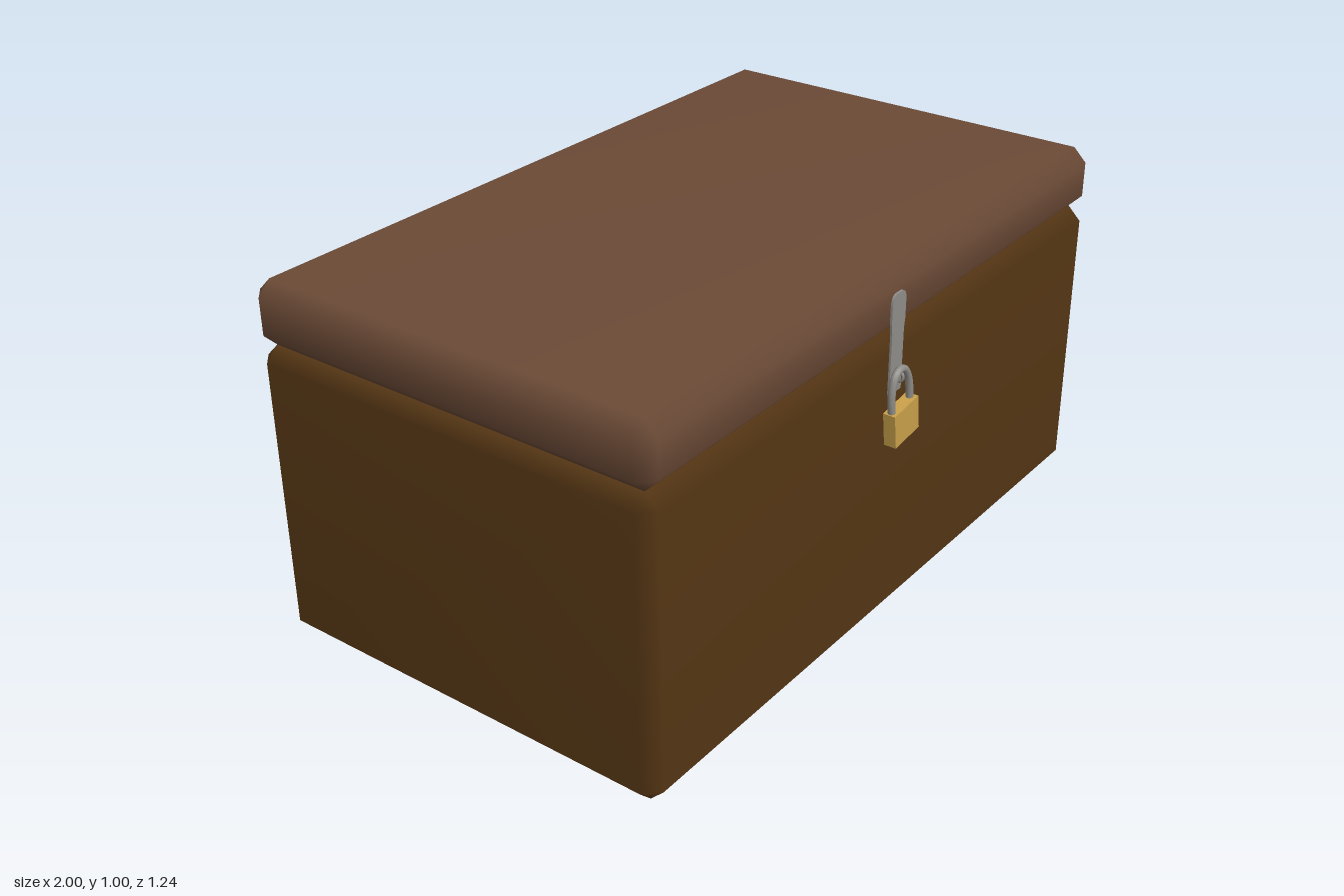
import * as THREE from 'three';
import { ConvexGeometry } from 'three/addons/geometries/ConvexGeometry.js';
import { mergeVertices } from 'three/addons/utils/BufferGeometryUtils.js';

const material = (color) => new THREE.MeshStandardMaterial({ color });

function addMesh(parent, name, geometry, mat, x = 0, y = 0, z = 0) {
  const mesh = new THREE.Mesh(geometry, mat);
  mesh.name = name;
  mesh.position.set(x, y, z);
  parent.add(mesh);
  return mesh;
}

// Box with one flat chamfer along every edge, shaded smoothly
function chamferedBox(w, h, d, c) {
  const points = [];
  for (const sx of [-1, 1]) for (const sy of [-1, 1]) for (const sz of [-1, 1]) {
    for (let axis = 0; axis < 3; axis++) {
      const inset = [c, c, c];
      inset[axis] = 0;
      points.push(new THREE.Vector3(
        sx * (w / 2 - inset[0]), sy * (h / 2 - inset[1]), sz * (d / 2 - inset[2])));
    }
  }
  const hull = new ConvexGeometry(points);
  hull.deleteAttribute('normal');
  const geometry = mergeVertices(hull, 1e-4);
  geometry.computeVertexNormals();
  return geometry;
}

// Hasp plate: rounded top, slight waist, slot for the staple
function haspGeometry() {
  const s = new THREE.Shape();
  s.moveTo(-0.027, -0.135);
  s.lineTo(0.027, -0.135);
  s.lineTo(0.027, 0.03);
  s.lineTo(0.031, 0.06);
  s.lineTo(0.031, 0.108);
  s.quadraticCurveTo(0.03, 0.135, 0.012, 0.137);
  s.lineTo(-0.012, 0.137);
  s.quadraticCurveTo(-0.03, 0.135, -0.031, 0.108);
  s.lineTo(-0.031, 0.06);
  s.lineTo(-0.027, 0.03);
  s.closePath();
  const slot = new THREE.Path();
  slot.absellipse(0, -0.09, 0.008, 0.022, 0, Math.PI * 2, true);
  s.holes.push(slot);
  return new THREE.ExtrudeGeometry(s, { depth: 0.006, bevelEnabled: false, curveSegments: 8 });
}

export function createModel() {
  const chest = new THREE.Group();
  chest.name = 'chest';
  const bodyWood = material(0x553614);
  const lidWood = material(0x6b4a36);
  const steel = material(0x8f8d89);
  const brass = material(0xc9a04a);

  // Body and lid
  addMesh(chest, 'body', chamferedBox(2, 0.825, 1.205, 0.038), bodyWood, 0, 0.4125, -0.0175);
  addMesh(chest, 'lid', chamferedBox(2, 0.175, 1.205, 0.038), lidWood, 0, 0.9125, -0.0175);

  // Hasp and staple
  addMesh(chest, 'hasp', haspGeometry(), steel, -0.03, 0.805, 0.585);
  const staple = addMesh(chest, 'staple', new THREE.TorusGeometry(0.015, 0.004, 8, 20), steel, -0.03, 0.717, 0.597);
  staple.rotation.y = Math.PI / 2;

  // Padlock, hanging slightly askew
  const padlock = new THREE.Group();
  padlock.name = 'padlock';
  padlock.position.set(-0.011, 0.585, 0.602);
  padlock.rotation.z = 0.13;
  chest.add(padlock);
  addMesh(padlock, 'padlockBody', new THREE.BoxGeometry(0.11, 0.095, 0.035), brass);

  // Shackle arch
  const points = [[-0.042, 0.03], [-0.042, 0.08], [-0.036, 0.115], [-0.022, 0.142], [0, 0.152]];
  const mirrored = points.slice(0, -1).reverse().map(([x, y]) => [-x, y]);
  const path = new THREE.CatmullRomCurve3(
    [...points, ...mirrored].map(([x, y]) => new THREE.Vector3(x, y, 0)));
  addMesh(padlock, 'shackle', new THREE.TubeGeometry(path, 32, 0.01, 10), steel);

  return chest;
}
